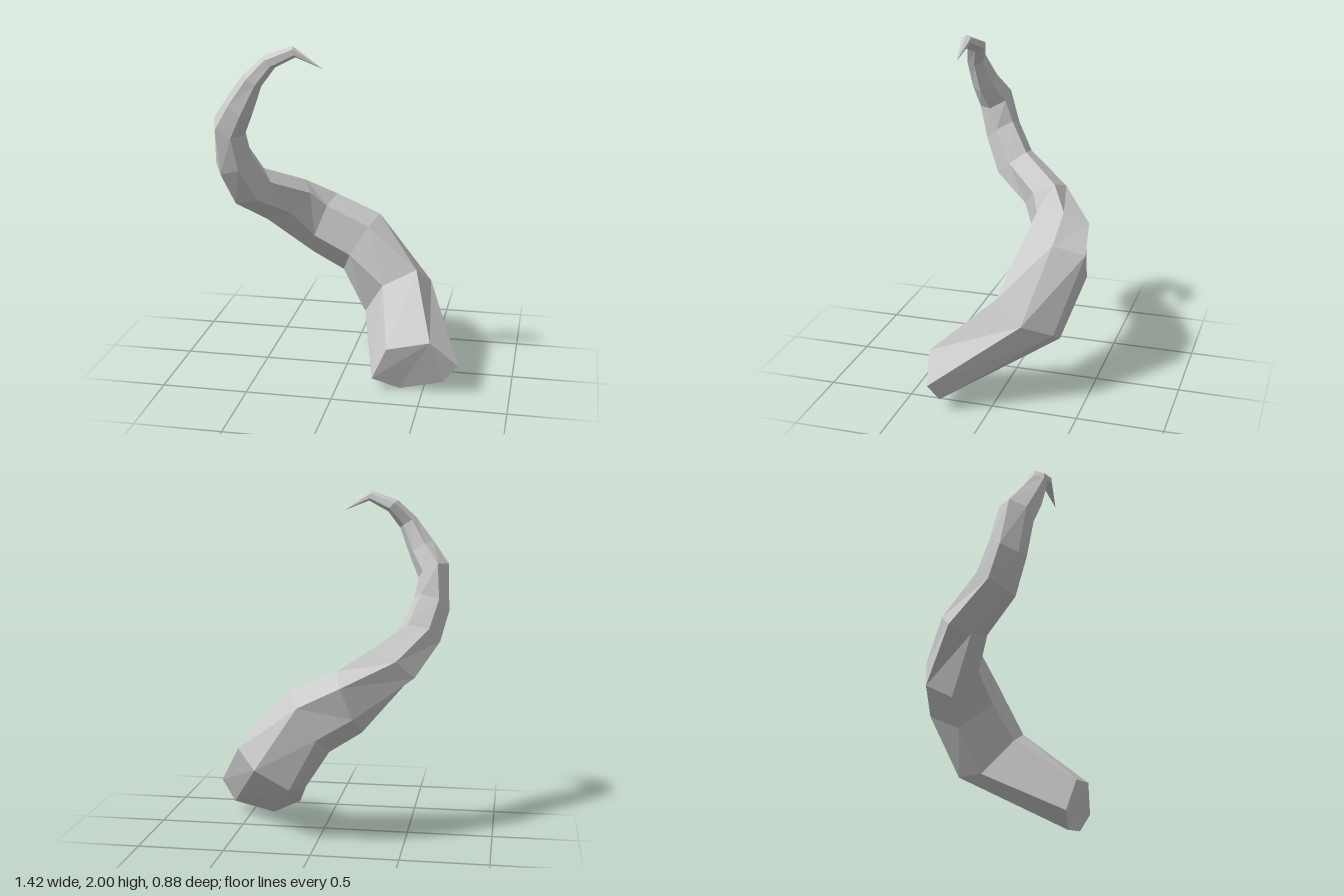
import * as THREE from 'three';

// Horn cross-sections from base to tip: centre, two spokes of a skewed hexagon,
// and a small drop applied to the two remaining opposite corners.
const SECTIONS = [
  [0.455, 0.165, 0.32, 0.09, 0.165, 0.04, -0.16, 0.105, 0.04, -0.04],
  [0.285, 0.475, -0.155, 0.13, 0.16, 0.155, -0.07, 0.05, 0.165, -0.07],
  [0.045, 0.755, -0.242, 0.07, 0.11, 0.18, -0.04, -0.07, 0.195, -0.045],
  [-0.18, 0.865, -0.225, 0.04, 0.11, 0.145, -0.03, -0.07, 0.175, -0.04],
  [-0.384, 1.007, -0.07, 0.155, 0.055, 0.035, 0.055, -0.05, 0.115, 0],
  [-0.54, 1.15, 0.175, 0.125, 0.025, 0, 0.065, -0.06, 0.09, 0],
  [-0.604, 1.33, 0.27, 0.107, 0.03, 0.012, 0.05, -0.045, 0.09, 0],
  [-0.61, 1.53, 0.32, 0.09, -0.045, 0.01, 0.03, -0.05, 0.09, 0],
  [-0.535, 1.655, 0.365, 0.07, -0.05, 0.008, 0.02, -0.04, 0.07, 0],
  [-0.45, 1.81, 0.39, 0.05, -0.03, 0, 0.025, -0.02, 0.05, 0],
  [-0.36, 1.91, 0.36, 0.03, -0.033, 0, 0.012, -0.022, 0.052, 0],
  [-0.22, 1.97, 0.377, 0.008, -0.03, 0, 0.006, -0.015, 0.03, 0],
];
const TIP = [-0.06, 1.88, 0.38];
const SIDES = 6;

// Six corners in order: each is centre + a * first spoke + b * second spoke.
const CORNERS = [[1, 0], [0, 1], [-1, 1], [-1, 0], [0, -1], [1, -1]];

function ring([cx, cy, cz, ex, ey, ez, fx, fy, fz, drop]) {
  return CORNERS.map(([a, b]) => [
    cx + a * ex + b * fx,
    cy + a * ey + b * fy + (a * b ? drop : 0),
    cz + a * ez + b * fz,
  ]);
}

function makeMesh(name, positions, index, material) {
  const geometry = new THREE.BufferGeometry();
  geometry.setAttribute('position', new THREE.Float32BufferAttribute(positions.flat(), 3));
  geometry.setIndex(index);
  const flat = geometry.toNonIndexed();
  flat.computeVertexNormals();
  const mesh = new THREE.Mesh(flat, material);
  mesh.name = name;
  return mesh;
}

export function createModel() {
  const group = new THREE.Group();
  group.name = 'horn';
  const material = new THREE.MeshStandardMaterial({ color: 0xcccccc, flatShading: true });
  const rings = SECTIONS.map(ring);

  // Curved shaft, closed to a point at the tip
  const points = [...rings.flat(), TIP];
  const tip = points.length - 1;
  const index = [];
  for (let r = 0; r < rings.length; r++) {
    for (let s = 0; s < SIDES; s++) {
      const i = r * SIDES + s;
      const j = r * SIDES + ((s + 1) % SIDES);
      if (r === rings.length - 1) index.push(j, i, tip);
      else index.push(j, i, i + SIDES, j, i + SIDES, j + SIDES);
    }
  }
  group.add(makeMesh('hornShaft', points, index, material));

  // Flat cut face at the root
  const cap = [];
  for (let s = 1; s < SIDES - 1; s++) cap.push(0, s, s + 1);
  group.add(makeMesh('hornBase', rings[0], cap, material));

  return group;
}
